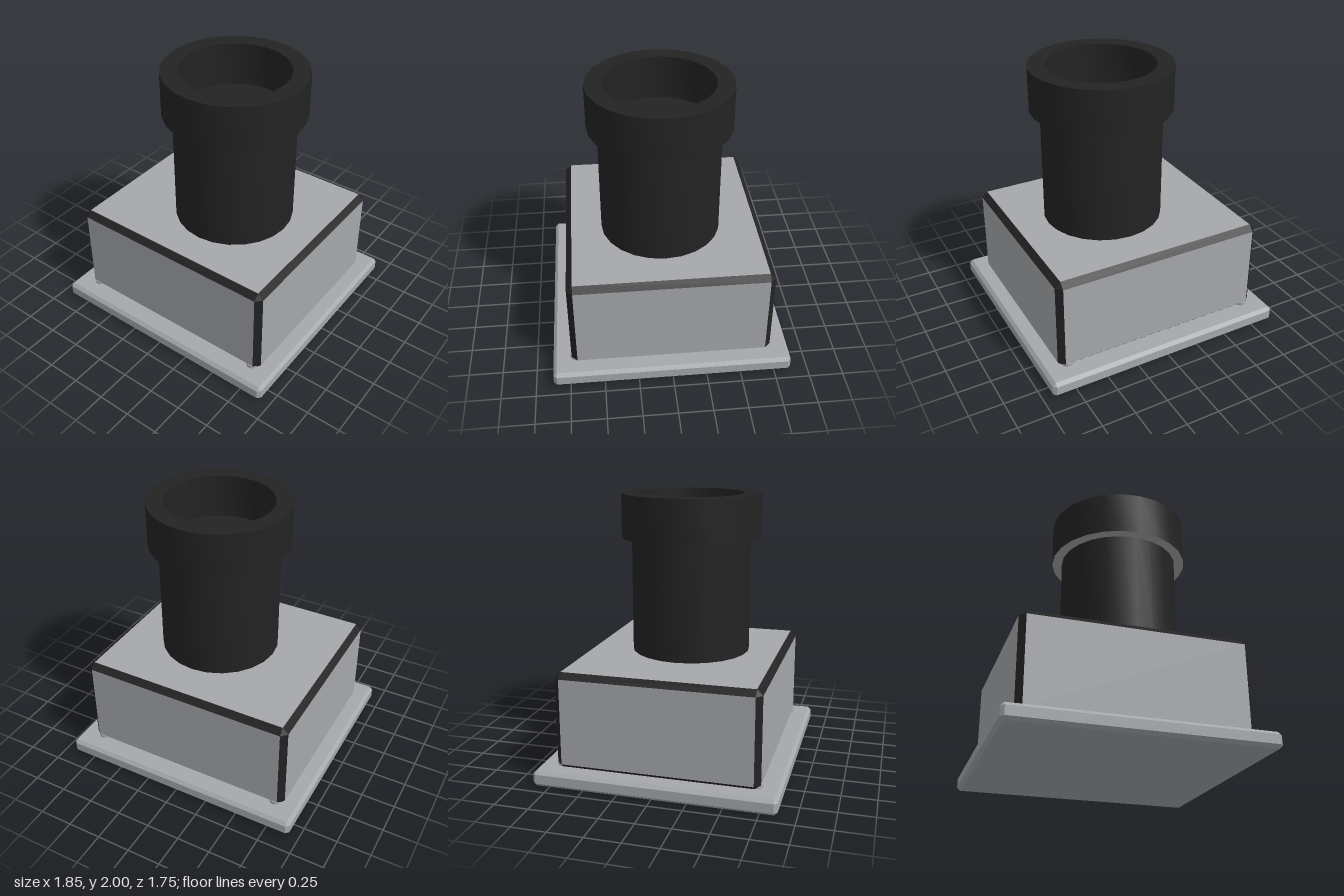
import * as THREE from 'three';
import { toCreasedNormals } from 'three/addons/utils/BufferGeometryUtils.js';

const grey = new THREE.MeshStandardMaterial({ color: 0xa5a8ac });
grey.name = 'stone grey';
const black = new THREE.MeshStandardMaterial({ color: 0x232323 });
black.name = 'soot black';

// Box with cut edges: group 0 holds the six faces, group 1 the edge and corner cuts
function chamferBox(w, h, d, c) {
  const half = [w / 2, h / 2, d / 2];
  const pos = [];
  // corner point lying on the face of the given axis
  const point = (axis, s) =>
    new THREE.Vector3(...s.map((v, i) => v * (half[i] - (i === axis ? 0 : c))));
  const tri = (p, q, r) => {
    const n = q.clone().sub(p).cross(r.clone().sub(p));
    const order = n.dot(p.clone().add(q).add(r)) < 0 ? [p, r, q] : [p, q, r];
    order.forEach((v) => pos.push(v.x, v.y, v.z));
  };
  const quad = (a, b, e, f) => { tri(a, b, e); tri(a, e, f); };
  const signs = (i, si, j, sj, k, sk) => {
    const s = [0, 0, 0];
    s[i] = si; s[j] = sj; s[k] = sk;
    return s;
  };
  const pm = [-1, 1];

  for (let i = 0; i < 3; i++) {
    const j = (i + 1) % 3, k = (i + 2) % 3;
    for (const s of pm) {
      quad(...[[-1, -1], [1, -1], [1, 1], [-1, 1]].map(([u, v]) => point(i, signs(i, s, j, u, k, v))));
    }
  }
  const faceCount = pos.length / 3;
  for (let i = 0; i < 3; i++) {
    const j = (i + 1) % 3, k = (i + 2) % 3;
    for (const u of pm) for (const v of pm) {
      const lo = signs(i, -1, j, u, k, v), hi = signs(i, 1, j, u, k, v);
      quad(point(j, lo), point(j, hi), point(k, hi), point(k, lo));
    }
  }
  for (const x of pm) for (const y of pm) for (const z of pm) {
    tri(...[0, 1, 2].map((axis) => point(axis, [x, y, z])));
  }

  const g = new THREE.BufferGeometry();
  g.setAttribute('position', new THREE.Float32BufferAttribute(pos, 3));
  g.addGroup(0, faceCount, 0);
  g.addGroup(faceCount, pos.length / 3 - faceCount, 1);
  g.computeVertexNormals();
  return g;
}

function lathe(points) {
  const profile = points.map(([r, y]) => new THREE.Vector2(r, y));
  return toCreasedNormals(new THREE.LatheGeometry(profile, 24), 0.6);
}

export function createModel() {
  const model = new THREE.Group();
  const add = (name, geometry, material, x = 0, y = 0, z = 0) => {
    const mesh = new THREE.Mesh(geometry, material);
    mesh.name = name;
    mesh.position.set(x, y, z);
    model.add(mesh);
  };

  // Base slab
  add('baseSlab', chamferBox(1.854, 0.115, 1.746, 0.024), [grey, grey], 0, 0.0575, 0);

  // Main block, black along its cut edges and slightly sunk in the slab
  add('mainBlock', chamferBox(1.63, 0.72, 1.474, 0.043), [grey, black], 0, 0.457, 0);

  // Small corner studs between slab and block
  for (const x of [-0.745, 0.745]) for (const z of [-0.705, 0.705]) {
    add('cornerStud', new THREE.CylinderGeometry(0.04, 0.04, 0.04, 12), grey, x, 0.119, z);
  }

  // Chimney pipe
  const cx = 0.09, cz = 0.02;
  add('pipe', lathe([[0.445, 0.8], [0.445, 1.68]]), black, cx, 0, cz);

  // Hollow collar with a closed floor
  add('collar', lathe([
    [0.52, 1.675], [0.52, 2], [0.395, 2], [0.395, 1.675], [0, 1.675],
  ]), black, cx, 0, cz);

  // Pale underside of the collar
  add('collarUnderside', lathe([[0.44, 1.675], [0.52, 1.675]]), grey, cx, 0, cz);

  return model;
}
